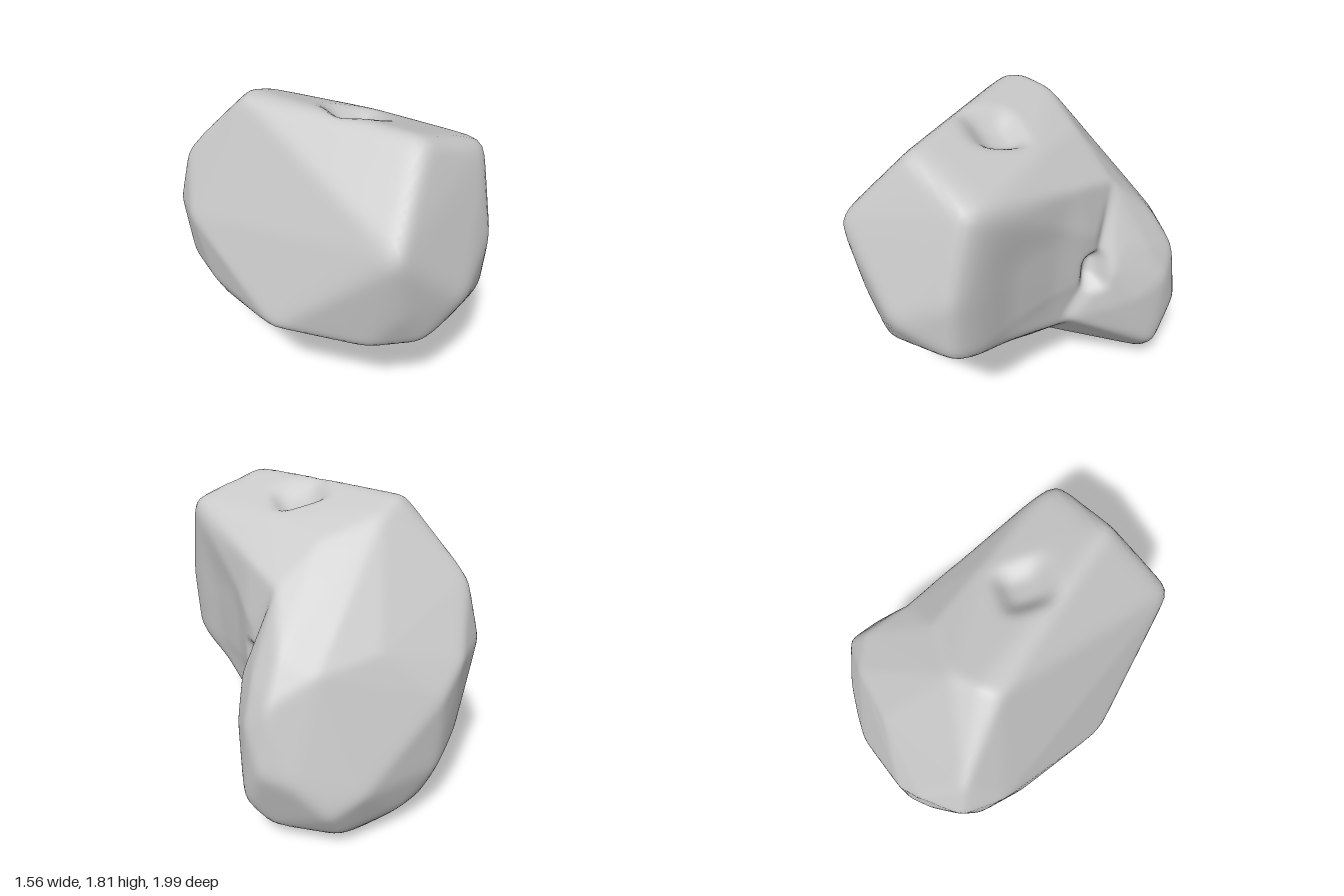
import * as THREE from 'three';
import { mergeVertices } from 'three/addons/utils/BufferGeometryUtils.js';
import { ConvexGeometry } from 'three/addons/geometries/ConvexGeometry.js';

const CORE = new THREE.Vector3(0, 0.95, -0.25);

// Corners where the two masses meet
const SHARED = [
  [-0.43, 1.8, -0.14], [-0.25, 1.76, -0.35], [0.1, 1.64, -0.37], [0.36, 1.42, -0.47],
  [-0.8, 1.05, -0.48], [-0.73, 1.4, -0.43], [-0.61, 0.53, -0.06], [-0.2, 0.44, 0.1],
  [0.2, 0.44, 0.1], [-0.46, 0.25, -0.45], [-0.76, 0.68, -0.38], [-0.69, 0.66, -0.08],
];

// Main mass: corners of the upper and front part
const FRONT = [
  ...SHARED, [-0.36, 1.81, -0.24], [0.31, 1.83, 0.68], [0.36, 1.68, 0],
  [0.76, 1.68, 0.51], [0.79, 1.2, 0.63], [0.77, 0.79, 0.62], [0.05, 1.37, 1.02],
  [0.12, 0.95, 0.95], [0.0, 0.67, 0.83], [0.3, 0.66, 0.87], [0.52, 0.95, 0.9],
  [-0.46, 0.67, 0.51], [-0.78, 1.05, -0.22],
  [0.48, 1.15, -0.33], [0.47, 0.88, -0.34], [0.57, 0.64, 0.2], [0.45, 0.54, -0.25],
  [0.33, 0.46, -0.02], [-0.2, 0.25, -0.4], [0.15, 0.25, -0.4],
];

// Rear lump: corners of the lower and back part
const REAR = [
  ...SHARED, [0.52, 0.62, -0.16], [0.55, 0.92, -0.42], [0.57, 0.66, -0.4], [0.47, 0.46, -0.35],
  [0.6, 0.7, -0.58], [0.6, 0.27, -0.74], [0.5, 1.07, -0.52], [0.52, 1.0, -0.66],
  [0.39, 1.15, -0.75], [0.47, 0.93, -0.87], [0.58, 0.78, -0.77], [0.53, 0.55, -0.9],
  [0.48, 0.12, -0.76], [0.17, 0.3, -1.01], [0.35, 0.5, -0.98], [-0.02, 0.4, -0.99],
  [0.1, 0.12, -0.93], [0.2, 1.07, -0.85], [-0.15, 1.13, -0.77], [-0.5, 0.85, -0.8],
  [-0.63, 1.0, -0.69], [-0.62, 0.52, -0.66], [-0.49, 0.4, -0.79], [-0.42, 0.2, -0.74],
  [-0.28, 0.17, -0.82], [-0.07, -0.02, -0.72], [-0.38, 0.11, -0.62],
];

// Chips and pockets: centre, half sizes, push
const DENTS = [
  [[0.13, 1.74, 0.15], [0.19, 0.3, 0.18], [0, -0.08, 0]],
  [[-0.31, 0.28, -0.28], [0.17, 0.17, 0.25], [0.05, 0.1, -0.06]],
  [[0.5, 0.92, -0.31], [0.18, 0.14, 0.09], [-0.07, 0, 0]],
  [[0.62, 1.0, 0.1], [0.22, 0.6, 0.4], [-0.03, 0, 0]],
];

function hullPlanes(points) {
  const p = new ConvexGeometry(points.map((c) => new THREE.Vector3(...c))).attributes.position;
  const corner = (i) => new THREE.Vector3().fromBufferAttribute(p, i);
  const planes = [];
  for (let i = 0; i < p.count; i += 3) {
    const plane = new THREE.Plane().setFromCoplanarPoints(corner(i), corner(i + 1), corner(i + 2));
    if (plane.normal.lengthSq() > 0.5) planes.push(plane);
  }
  return planes;
}

// Distance from the core to the hull along a direction
function reach(planes, dir) {
  let r = 3;
  for (const plane of planes) {
    const slope = plane.normal.dot(dir);
    if (slope > 1e-4) r = Math.min(r, -plane.distanceToPoint(CORE) / slope);
  }
  return r;
}

// Average each vertex with its neighbours to wear the edges down
function soften(points, index, passes) {
  const near = points.map(() => new Set());
  for (let i = 0; i < index.count; i += 3) {
    const t = [0, 1, 2].map((k) => index.getX(i + k));
    t.forEach((a) => t.forEach((b) => a !== b && near[a].add(b)));
  }
  for (let pass = 0; pass < passes; pass++) {
    const old = points.map((p) => p.clone());
    points.forEach((p, i) => {
      const mean = new THREE.Vector3();
      near[i].forEach((j) => mean.add(old[j]));
      p.lerp(mean.divideScalar(near[i].size), 0.6);
    });
  }
}

function dent(point) {
  for (const [centre, size, push] of DENTS) {
    const q = point.clone().sub(new THREE.Vector3(...centre)).divide(new THREE.Vector3(...size));
    const d = Math.pow(q.x ** 4 + q.y ** 4 + q.z ** 4, 0.25);
    point.addScaledVector(new THREE.Vector3(...push), 1 - THREE.MathUtils.smoothstep(d, 0.3, 1));
  }
}

export function createModel() {
  const hulls = [hullPlanes(FRONT), hullPlanes(REAR)];
  let geometry = new THREE.IcosahedronGeometry(1, 36);
  geometry.deleteAttribute('normal');
  geometry.deleteAttribute('uv');
  geometry = mergeVertices(geometry, 1e-4);

  // Push every direction out to the farther of the two masses
  const pos = geometry.attributes.position;
  const points = [];
  for (let i = 0; i < pos.count; i++) {
    const dir = new THREE.Vector3().fromBufferAttribute(pos, i).normalize();
    const r = Math.max(...hulls.map((h) => reach(h, dir)));
    points.push(dir.multiplyScalar(r).add(CORE));
  }
  soften(points, geometry.index, 2);
  points.forEach(dent);
  soften(points, geometry.index, 1);
  points.forEach((p, i) => pos.setXYZ(i, p.x, p.y, p.z));

  // Rest the lowest point on the ground
  geometry.computeBoundingBox();
  geometry.translate(0, -geometry.boundingBox.min.y, 0);
  geometry.computeVertexNormals();

  const rock = new THREE.Mesh(geometry, new THREE.MeshStandardMaterial({ color: 0xcccccc }));
  rock.name = 'rock';
  const group = new THREE.Group();
  group.name = 'boulder';
  group.add(rock);
  return group;
}
